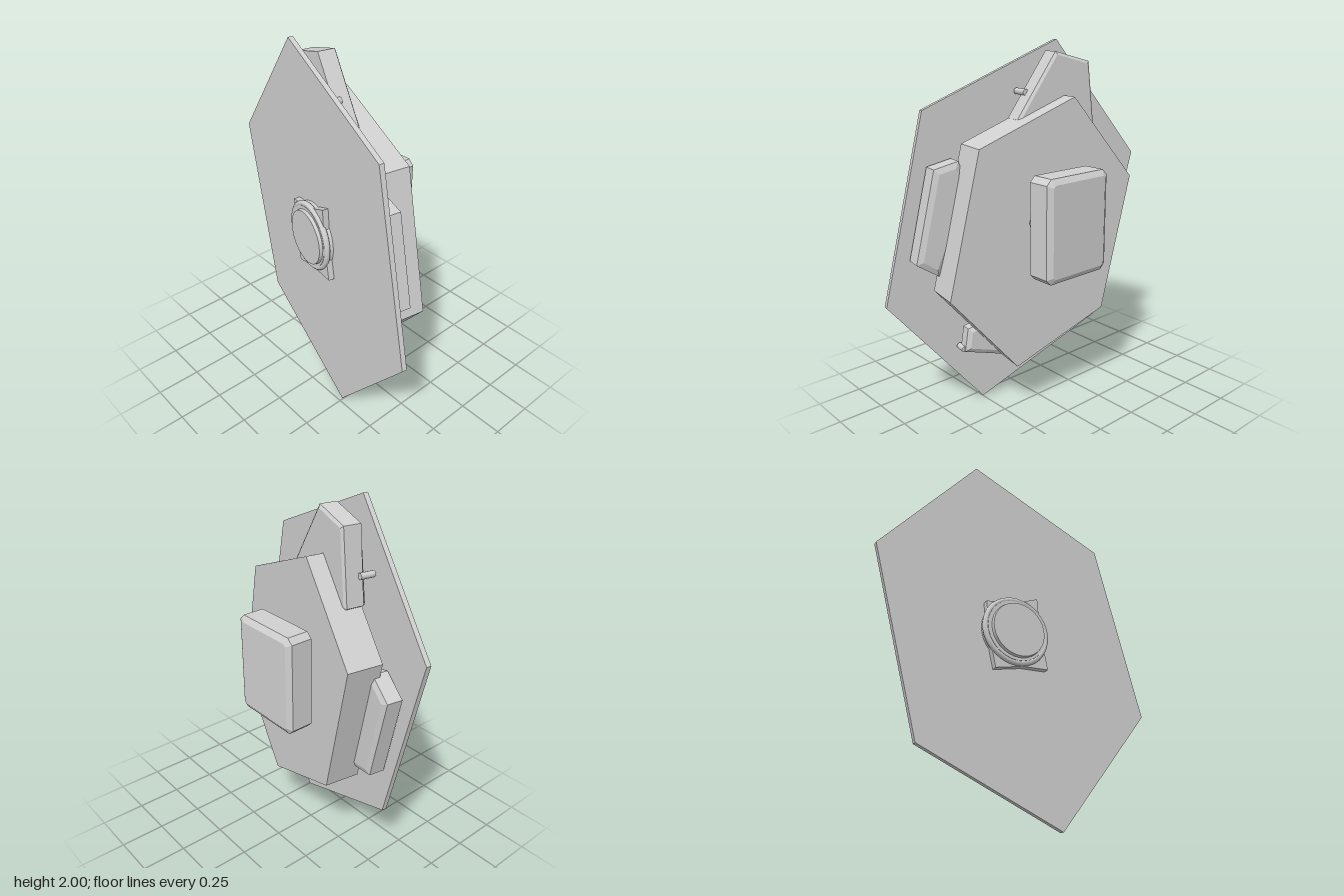
import * as THREE from 'three';

const grey = new THREE.MeshStandardMaterial({ color: 0xd0d0d0 });
grey.name = 'plain grey';

// Prism from an outline in (u, y), running from depth w0 to w1, with an optional chamfer
function prism(name, pts, w0, w1, bevel = 0, bevelDepth = bevel) {
  const shape = new THREE.Shape(pts.map(([u, y]) => new THREE.Vector2(u, y)));
  const geo = new THREE.ExtrudeGeometry(shape, {
    depth: w1 - w0 - 2 * bevelDepth,
    bevelEnabled: bevel > 0,
    bevelSize: bevel,
    bevelOffset: -bevel,
    bevelThickness: bevelDepth,
    bevelSegments: 1,
  });
  geo.translate(0, 0, w0 + bevelDepth);
  const mesh = new THREE.Mesh(geo, grey);
  mesh.name = name;
  return mesh;
}

// Block with a flat back and a chamfered front
function block(name, pts, w0, w1, bevel, bevelDepth) {
  const group = new THREE.Group();
  group.name = name;
  group.add(prism(name + 'Body', pts, w0, w1 - bevelDepth));
  group.add(prism(name + 'Face', pts, w1 - 2.1 * bevelDepth, w1, bevel, bevelDepth));
  return group;
}

// Round part whose axis runs along the depth direction
function disc(name, r0, r1, u, y, w0, w1, sides = 32) {
  const geo = new THREE.CylinderGeometry(r1, r0, w1 - w0, sides);
  geo.rotateX(Math.PI / 2);
  geo.translate(u, y, (w0 + w1) / 2);
  const mesh = new THREE.Mesh(geo, grey);
  mesh.name = name;
  return mesh;
}

export function createModel() {
  const model = new THREE.Group();
  model.name = 'hexagonalPanelAssembly';

  // Tilted assembly: local x runs across the plate, local z is its normal
  const tilted = new THREE.Group();
  tilted.name = 'tiltedAssembly';
  tilted.rotation.y = THREE.MathUtils.degToRad(80);
  model.add(tilted);

  // Large thin hexagonal plate
  tilted.add(prism('backPlate', [
    [0.215, 2], [0.765, 1.335], [0.505, 0.335], [-0.28, 0], [-0.825, 0.67], [-0.58, 1.67],
  ], -0.182, -0.155));

  // Thick hexagonal body and the column holding it to the plate
  tilted.add(prism('hexBody', [
    [0.152, 1.72], [0.535, 1.265], [0.36, 0.51], [-0.203, 0.285], [-0.588, 0.745], [-0.406, 1.5],
  ], -0.083, 0.115));
  tilted.add(disc('supportColumn', 0.14, 0.14, 0, 1, -0.16, -0.08));

  // Blocks around the body
  tilted.add(block('topBlock', [
    [0.1, 1.945], [0.31, 1.89], [0.355, 1.5], [0.2, 1.4], [-0.13, 1.61],
  ], -0.085, 0.02, 0.015, 0.01));
  tilted.add(prism('topBlockBase', [
    [0.04, 1.76], [0.27, 1.75], [0.31, 1.48], [0.15, 1.4], [-0.1, 1.52],
  ], -0.13, -0.08, 0.01));
  tilted.add(block('rearBlock', [
    [0.5, 1.2], [0.63, 1.1], [0.515, 0.615], [0.34, 0.585], [0.3, 1.15],
  ], -0.14, -0.04, 0.03, 0.012));
  tilted.add(block('frontBlock', [
    [-0.44, 1.42], [-0.575, 1.39], [-0.69, 0.91], [-0.57, 0.83], [-0.38, 1.25],
  ], -0.14, -0.038, 0.03, 0.012));
  tilted.add(block('bottomBlock', [
    [-0.41, 0.49], [-0.43, 0.36], [-0.02, 0.23], [0.02, 0.25], [0.05, 0.42], [-0.15, 0.55],
  ], -0.115, -0.045, 0.025, 0.015));

  // Pins standing between the plate and the blocks: u, y, start and end depth
  for (const [u, y, w0, w1] of [
    [-0.045, 1.74, -0.14, -0.045], [0.35, 1.65, -0.14, -0.06],
    [-0.43, 0.37, -0.13, -0.07], [-0.01, 0.25, -0.14, -0.07], [-0.13, 1.45, -0.15, -0.08],
  ]) {
    tilted.add(disc('pin', 0.017, 0.017, u, y, w0, w1, 12));
  }

  // Hub on the back: four-pointed base, collar, ring and cap
  tilted.add(prism('hubBase', [
    [0.16, 1.14], [0, 1.165], [-0.146, 1.226], [-0.16, 1.03],
    [-0.2, 0.82], [-0.05, 0.81], [0.108, 0.773], [0.15, 0.97],
  ], -0.215, -0.18));
  tilted.add(disc('hubCollar', 0.17, 0.185, -0.01, 1, -0.23, -0.18));
  tilted.add(disc('hubCap', 0.15, 0.155, -0.015, 1, -0.248, -0.22));
  const ring = new THREE.Mesh(new THREE.TorusGeometry(0.178, 0.016, 10, 40), grey);
  ring.name = 'hubRing';
  ring.position.set(-0.01, 1, -0.215);
  tilted.add(ring);

  // Upright chamfered box facing sideways, square to the model axes
  const upright = new THREE.Group();
  upright.name = 'sideUnit';
  upright.rotation.y = Math.PI / 2;
  const cut = 0.03;
  const [hx, y0, y1] = [0.212, 0.812, 1.36];
  upright.add(prism('sideBox', [
    [-hx + cut, y0], [hx - cut, y0], [hx, y0 + cut], [hx, y1 - cut],
    [hx - cut, y1], [-hx + cut, y1], [-hx, y1 - cut], [-hx, y0 + cut],
  ], 0.157, 0.318, 0.03, 0.02));

  // Bracket joining the box to the body
  upright.add(prism('bracketPlate', [
    [-0.13, 0.92], [0.1, 0.92], [0.1, 1.25], [-0.13, 1.25],
  ], 0.11, 0.16));
  upright.add(disc('bracketBoss', 0.05, 0.1, -0.1, 1.09, 0.1, 0.165, 8));
  model.add(upright);

  return model;
}
